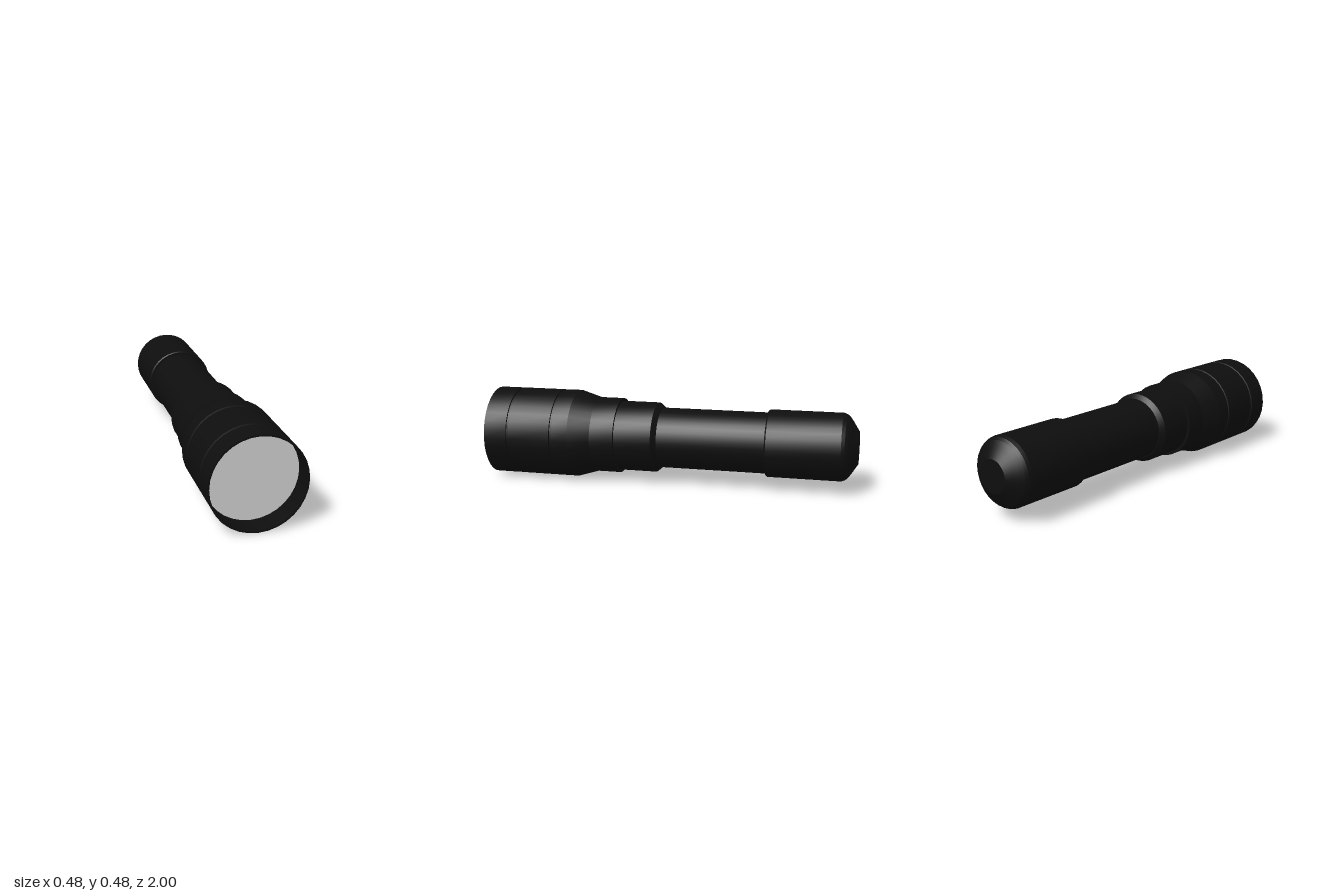
import * as THREE from 'three';
import { toCreasedNormals } from 'three/addons/utils/BufferGeometryUtils.js';

const SIDES = 32;
const AXIS_Y = 0.24;

export function createModel() {
  const group = new THREE.Group();
  group.name = 'flashlight';
  const black = new THREE.MeshStandardMaterial({ color: 0x0e0e0e });
  const grey = new THREE.MeshStandardMaterial({ color: 0xcccccc });

  // Turned part: profile of [radius, z] pairs running from back to front
  function turned(name, profile) {
    const points = profile.map(([r, z]) => new THREE.Vector2(r, z));
    const geometry = new THREE.LatheGeometry(points, SIDES);
    geometry.rotateX(Math.PI / 2);
    const mesh = new THREE.Mesh(toCreasedNormals(geometry, 0.25), black);
    mesh.name = name;
    mesh.position.y = AXIS_Y;
    group.add(mesh);
  }

  // Rounded tail cap with a flat end
  turned('tailCap', [
    [0, -1], [0.085, -1], [0.14, -0.965], [0.163, -0.948], [0.174, -0.933],
    [0.18, -0.915], [0.18, -0.532], [0.175, -0.525], [0.16, -0.525],
  ]);

  // Slim grip tube
  turned('gripTube', [[0.163, -0.54], [0.163, 0.08]]);

  // Collar with a bevelled back edge
  turned('collar', [[0.16, 0.052], [0.168, 0.052], [0.19, 0.077], [0.19, 0.29]]);

  // Flared head with two fine grooves and a recessed mouth
  const groove = (z) => [
    [0.24, z - 0.007], [0.234, z - 0.005], [0.234, z + 0.005], [0.24, z + 0.007],
  ];
  turned('head', [
    [0.185, 0.28], [0.205, 0.28], [0.205, 0.41], [0.24, 0.525],
    ...groove(0.62), ...groove(0.867),
    [0.24, 1], [0.231, 1], [0.231, 0.875],
  ]);

  // Flat lens set back inside the mouth
  const lens = new THREE.Mesh(new THREE.CircleGeometry(0.232, SIDES), grey);
  lens.name = 'lens';
  lens.position.set(0, AXIS_Y, 0.885);
  group.add(lens);

  return group;
}
